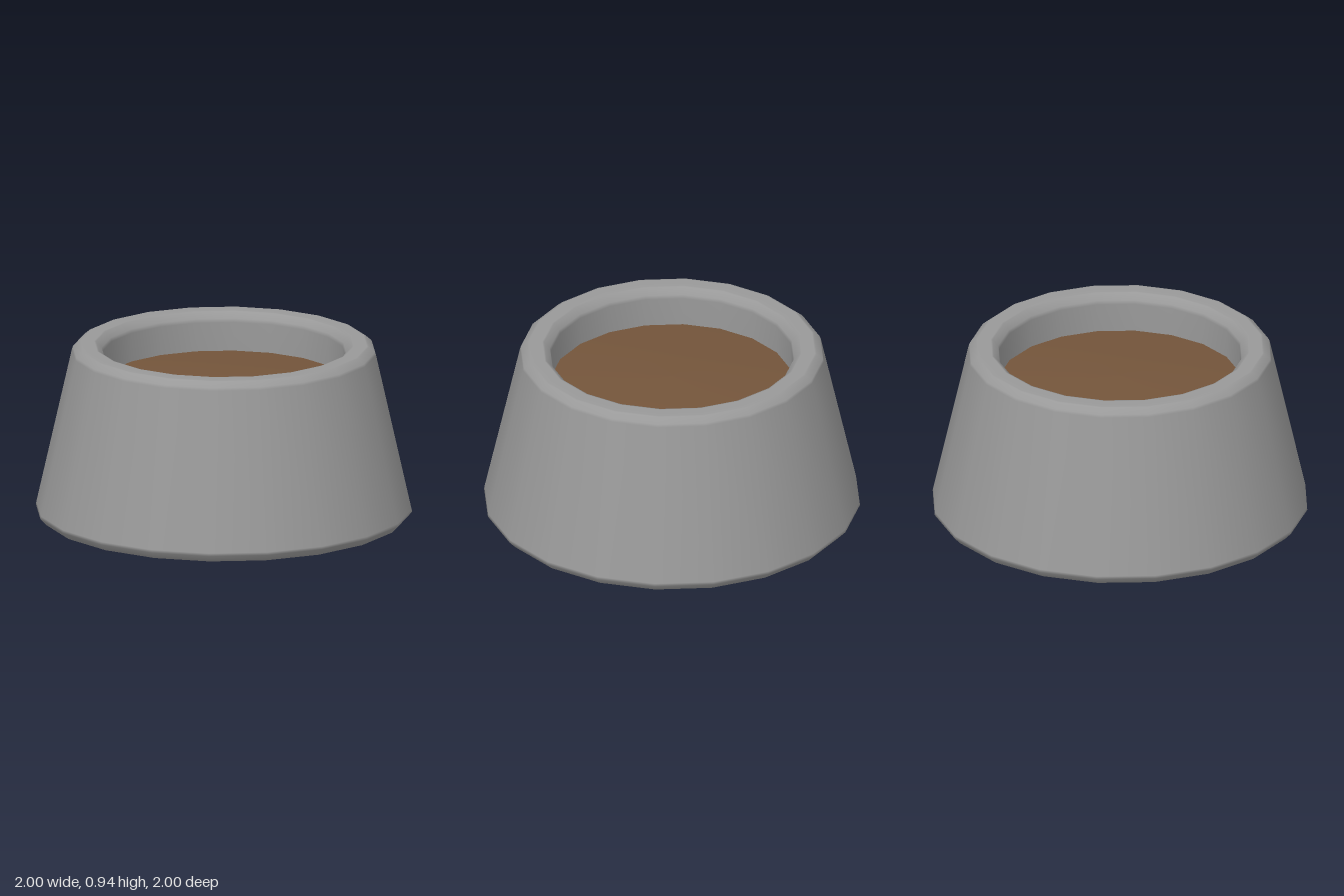
import * as THREE from 'three';

const SIDES = 20;

// Turns a profile of [radius, height] pairs around the y axis.
function turned(name, profile, material) {
  const points = profile.map(([r, y]) => new THREE.Vector2(r, y));
  const mesh = new THREE.Mesh(new THREE.LatheGeometry(points, SIDES), material);
  mesh.name = name;
  return mesh;
}

export function createModel() {
  const stone = new THREE.MeshStandardMaterial({ color: 0x999999 });
  stone.name = 'grey stone';
  const earth = new THREE.MeshStandardMaterial({ color: 0x74553b });
  earth.name = 'brown earth';

  const model = new THREE.Group();
  model.name = 'planter';

  // Tapered pot with bevelled edges; doubled points keep the broad faces even.
  model.add(turned('pot', [
    [0, 0], [0.955, 0], [0.965, 0.003],
    [1, 0.04], [0.997, 0.055],
    [0.808, 0.895], [0.803, 0.91],
    [0.77, 0.938], [0.76, 0.94],
    [0.69, 0.94], [0.68, 0.938],
    [0.65, 0.905], [0.645, 0.885],
    [0.645, 0.7],
  ], stone));

  // Slightly mounded soil inside the rim.
  model.add(turned('soil', [
    [0.645, 0.73], [0.45, 0.748], [0.22, 0.762], [0, 0.768],
  ], earth));

  return model;
}
